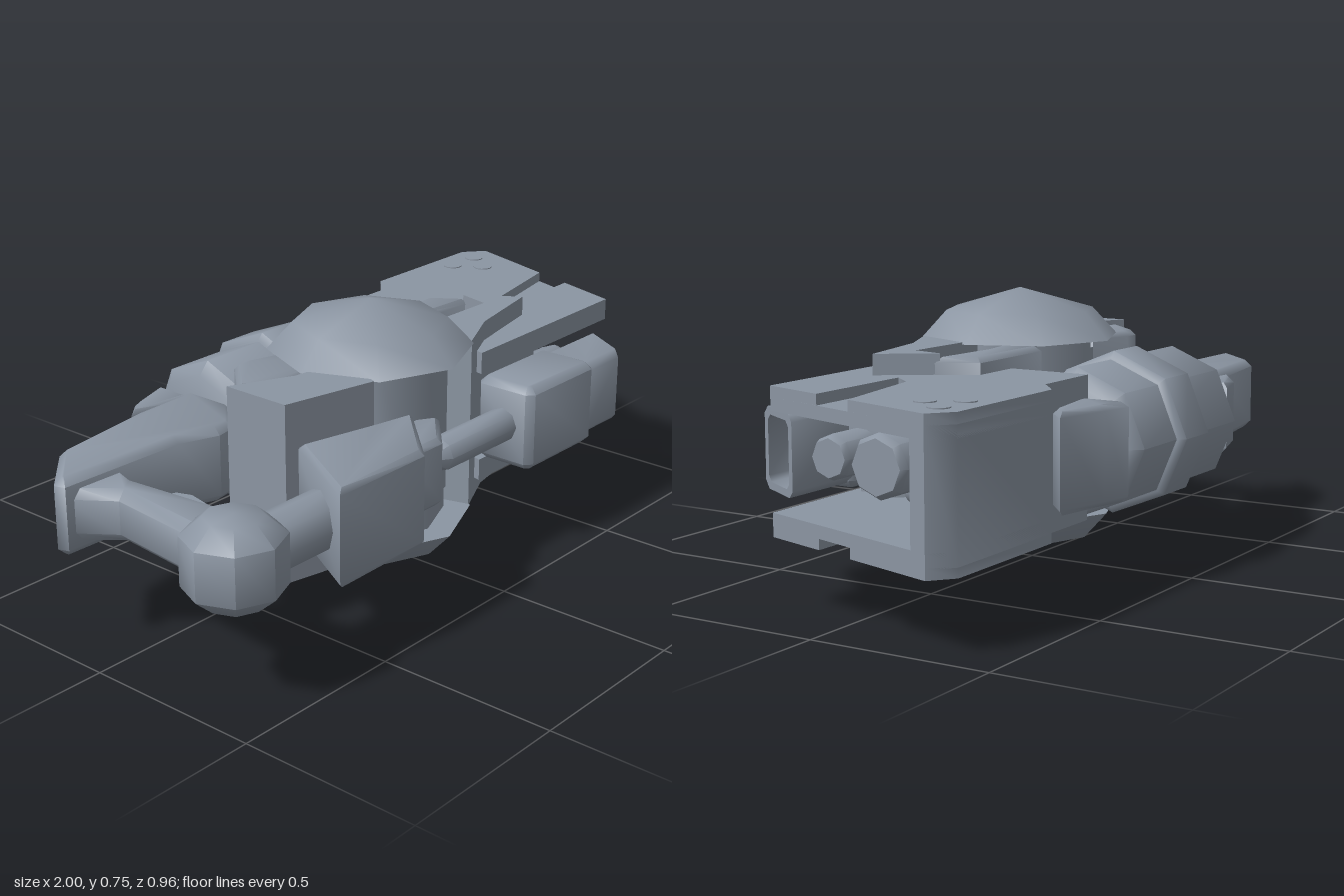
import * as THREE from 'three';
import { toCreasedNormals } from 'three/addons/utils/BufferGeometryUtils.js';

const MID = 0.38; // height of the horizontal symmetry plane

export function createModel() {
  const model = new THREE.Group();
  const hullGrey = new THREE.MeshStandardMaterial({ color: 0x8b95a2 });
  hullGrey.name = 'hullGrey';

  const add = (name, geo, x = 0, y = 0, z = 0) => {
    const mesh = new THREE.Mesh(toCreasedNormals(geo, 0.85), hullGrey);
    mesh.name = name;
    mesh.position.set(x, y, z);
    model.add(mesh);
    return mesh;
  };

  // Upright prism from a plan outline of [x, z] points
  const prism = (name, plan, y0, y1, bevel = 0) => {
    const pts = plan.map(([x, z]) => new THREE.Vector2(x, -z));
    if (THREE.ShapeUtils.isClockWise(pts)) pts.reverse();
    const geo = new THREE.ExtrudeGeometry(new THREE.Shape(pts), {
      depth: y1 - y0 - 2 * bevel, bevelEnabled: bevel > 0, bevelSize: bevel,
      bevelThickness: bevel, bevelOffset: -bevel, bevelSegments: 1,
    });
    geo.rotateX(-Math.PI / 2);
    return add(name, geo, 0, y0 + bevel, 0);
  };
  // Prism centred on the symmetry plane
  const slab = (name, plan, half, bevel) => prism(name, plan, MID - half, MID + half, bevel);
  // Mirrored pair above and below the symmetry plane
  const slabPair = (name, plan, near, far) => {
    prism(name + 'Top', plan, MID + near, MID + far);
    prism(name + 'Bottom', plan, MID - far, MID - near);
  };

  // Octagonal solid of revolution from [radius, height] points
  const turned = (points) =>
    new THREE.LatheGeometry(points.map(([r, h]) => new THREE.Vector2(r, h)), 8);
  const alongX = (name, points, y, z) => add(name, turned(points).rotateZ(-Math.PI / 2), 0, y, z);

  // Central drum with overhanging domes
  add('drum', turned([[0, 0.12], [0.205, 0.12], [0.205, 0.64], [0, 0.64]]), -0.05, 0, 0.07);
  const dome = [[0, 0.62], [0.28, 0.62], [0.21, 0.695], [0, 0.755]];
  add('domeTop', turned(dome), -0.05, 0, 0.07);
  add('domeBottom', turned(dome.map(([r, h]) => [r, 0.76 - h]).reverse()), -0.05, 0, 0.07);

  // Prongs holding the drum, joined by lower webs
  slab('rightProngRear', [[-0.33, -0.12], [-0.38, -0.12], [-0.49, 0], [-0.36, 0.06], [-0.2, 0.05], [-0.2, -0.08]], 0.235, 0.015);
  slab('rightProngFront', [[-0.53, 0], [-0.36, 0.08], [-0.2, 0.1], [-0.26, 0.26], [-0.53, 0.2]], 0.245);
  slab('leftProngRear', [[0.1, -0.09], [0.4, -0.09], [0.46, 0.01], [0.24, 0], [0.1, 0.02]], 0.235, 0.015);
  slab('leftProngFront', [[0.1, 0.08], [0.43, 0.09], [0.45, 0], [0.55, 0.14], [0.3, 0.19], [0.15, 0.26]], 0.245);
  slab('leftWeb', [[0.1, -0.05], [0.42, -0.05], [0.45, 0.12], [0.1, 0.2]], 0.2);
  slab('rightWeb', [[-0.5, 0], [-0.38, -0.08], [-0.15, -0.08], [-0.15, 0.2], [-0.5, 0.18]], 0.2);

  // Rear barrel housing with a raised band
  alongX('rearHousing', [[0, -0.37], [0.165, -0.37], [0.2, -0.34], [0.2, 0.2], [0.165, 0.235], [0, 0.235]], MID, -0.26);
  alongX('housingBand', [[0, -0.14], [0.205, -0.14], [0.222, -0.125], [0.222, 0.005], [0.205, 0.02], [0, 0.02]], MID, -0.26);
  slab('leftFin', [[0.25, -0.44], [0.34, -0.42], [0.5, -0.385], [0.44, -0.33], [0.25, -0.3]], 0.13, 0.015);
  slab('rightFin', [[-0.37, -0.42], [-0.5, -0.38], [-0.56, -0.33], [-0.37, -0.3]], 0.1, 0.015);

  // Cowl: inner and outer plates, rear wall and bulkhead, open on two sides
  slabPair('cowlInnerPlate', [[0.25, -0.32], [0.46, -0.32], [0.53, -0.38], [0.94, -0.38], [1, -0.33],
    [0.83, 0.245], [0.21, 0.25], [0.25, 0.1]], 0.128, 0.162);
  slabPair('cowlOuterPlate', [[0.25, -0.32], [0.46, -0.32], [0.53, -0.38], [0.94, -0.38], [1, -0.33],
    [0.92, -0.06], [0.6, 0], [0.55, 0.06], [0.884, 0.06], [0.83, 0.245], [0.21, 0.25], [0.25, 0.1]], 0.162, 0.19);
  slab('cowlRearWall', [[0.25, -0.32], [0.46, -0.32], [0.53, -0.38], [0.94, -0.38], [1, -0.33], [0.985, -0.28], [0.25, -0.28]], 0.165);
  slab('cowlBulkhead', [[0.24, -0.3], [0.5, -0.3], [0.5, 0.22], [0.22, 0.22]], 0.14);

  // Rivets on the cowl plates
  for (const [x, z] of [[0.8, -0.31], [0.91, -0.31], [0.85, -0.23]]) {
    for (const y of [MID + 0.19, MID - 0.19]) {
      add('rivet', new THREE.CylinderGeometry(0.028, 0.028, 0.006, 12), x, y, z);
    }
  }

  // Triple barrels inside the cowl
  add('barrelBlock', new THREE.BoxGeometry(0.12, 0.13, 0.45), 0.52, MID, -0.03);
  const spine = new THREE.CapsuleGeometry(0.035, 0.175, 4, 10);
  add('barrelSpine', spine, 0.58, MID, -0.017);
  for (const [z, r, end] of [[0.155, 0.06, 0.72], [-0.02, 0.085, 0.76], [-0.19, 0.06, 0.78]]) {
    alongX('barrel', [[0, 0.5], [r, 0.5], [r, end - 0.02], [r * 0.85, end], [0, end]], MID, z);
  }

  // Front gun: body, rod and slanted hollow muzzle
  slab('gunBody', [[0.21, 0.25], [0.23, 0.235], [0.5, 0.235], [0.515, 0.25], [0.515, 0.405], [0.5, 0.42], [0.23, 0.42], [0.21, 0.4]], 0.122, 0.02);
  const frame = (w, h, c) => [[-w, -h + c], [-w + c, -h], [w - c, -h], [w, -h + c], [w, h - c], [w - c, h], [-w + c, h], [-w, h - c]]
    .map(([x, y]) => new THREE.Vector2(x, y));
  const muzzleShape = new THREE.Shape(frame(0.082, 0.108, 0.02));
  muzzleShape.holes.push(new THREE.Path(frame(0.062, 0.088, 0.015).reverse()));
  const muzzle = new THREE.ExtrudeGeometry(muzzleShape, { depth: 0.2, bevelEnabled: false });
  muzzle.rotateY(Math.PI / 2);
  const p = muzzle.attributes.position;
  for (let i = 0; i < p.count; i++) {
    if (p.getX(i) > 0.1) p.setX(i, 0.2 - p.getZ(i) * 0.58); // slant the open end
  }
  add('muzzle', muzzle, 0.51, MID, 0.322);
  add('muzzlePlug', new THREE.BoxGeometry(0.06, 0.19, 0.14), 0.54, MID, 0.322);
  alongX('gunRod', [[0, -0.14], [0.048, -0.07], [0.048, 0.23], [0, 0.23]], MID, 0.325);

  // Faceted front body and its nose
  slab('frontBody', [[-0.64, 0.475], [-0.32, 0.475], [-0.14, 0.29], [-0.26, 0.26], [-0.49, 0.205]], 0.132, 0.015);
  slab('frontNose', [[-0.3, 0.405], [-0.16, 0.405], [-0.04, 0.3], [-0.1, 0.26], [-0.3, 0.26]], 0.095, 0.015);

  // Side handle: pipe, knob, strut and grip
  alongX('handlePipe', [[0, -0.85], [0.076, -0.85], [0.076, -0.48], [0, -0.48]], MID, 0.355);
  add('knob', turned([[0, -0.118], [0.075, -0.112], [0.13, -0.065], [0.13, 0.065], [0.075, 0.112], [0, 0.118]]), -0.87, MID, 0.35);
  slab('handleStrut', [[-0.97, -0.13], [-0.78, -0.13], [-0.8, -0.05], [-0.77, 0.27], [-0.92, 0.27], [-0.89, -0.02]], 0.07, 0.025);
  slab('handleTrigger', [[-0.8, 0.02], [-0.755, 0.04], [-0.74, 0.08], [-0.765, 0.195], [-0.8, 0.195]], 0.04);
  slab('rearGrip', [[-0.35, -0.32], [-0.56, -0.315], [-0.86, -0.27], [-0.99, -0.14], [-0.98, -0.11], [-0.61, -0.1],
    [-0.5, -0.06], [-0.44, -0.07], [-0.35, -0.16]], 0.105, 0.02);

  return model;
}
